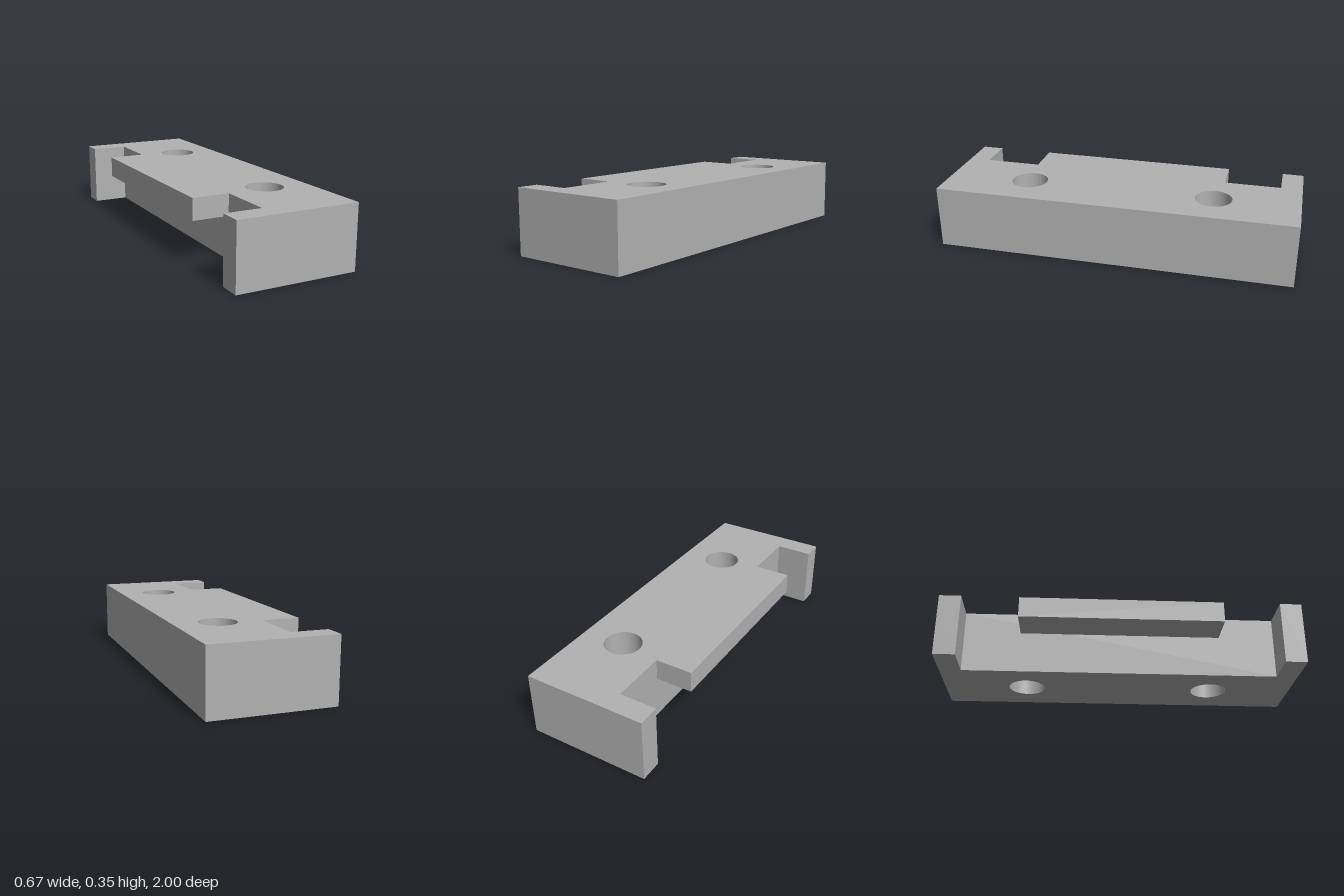
import * as THREE from 'three';
import { toCreasedNormals } from 'three/addons/utils/BufferGeometryUtils.js';

const HEIGHT = 0.353, HALF_W = 0.337, WALL_X = -0.132;
const FOOT_Z = 0.88, TAB_Z = 0.565, TAB_T = 0.118;

export function createModel() {
  const model = new THREE.Group();
  const grey = new THREE.MeshStandardMaterial({ color: 0xb2b2b2 });
  grey.name = 'grey';

  // C-shaped block with an end lug at each end
  const outline = new THREE.Shape([
    [-HALF_W, -1], [HALF_W, -1], [HALF_W, 1], [-HALF_W, 1],
    [-HALF_W, FOOT_Z], [WALL_X, FOOT_Z], [WALL_X, -FOOT_Z], [-HALF_W, -FOOT_Z],
  ].map(([x, y]) => new THREE.Vector2(x, y)));

  // Two through holes
  for (const s of [-1, 1]) {
    const hole = new THREE.Path();
    hole.absarc(0.1, s * 0.529, 0.102, 0, Math.PI * 2, true);
    outline.holes.push(hole);
  }
  const blockGeometry = new THREE.ExtrudeGeometry(outline, {
    depth: HEIGHT, bevelEnabled: false, curveSegments: 48,
  });
  blockGeometry.rotateX(-Math.PI / 2);
  const block = new THREE.Mesh(toCreasedNormals(blockGeometry, 0.6), grey);
  block.name = 'block';
  model.add(block);

  // Overhanging tab between the lugs, flush with the top
  const tabWidth = WALL_X + HALF_W;
  const tab = new THREE.Mesh(new THREE.BoxGeometry(tabWidth, TAB_T, TAB_Z * 2), grey);
  tab.position.set(-HALF_W + tabWidth / 2, HEIGHT - TAB_T / 2, 0);
  tab.name = 'overhangTab';
  model.add(tab);

  return model;
}
